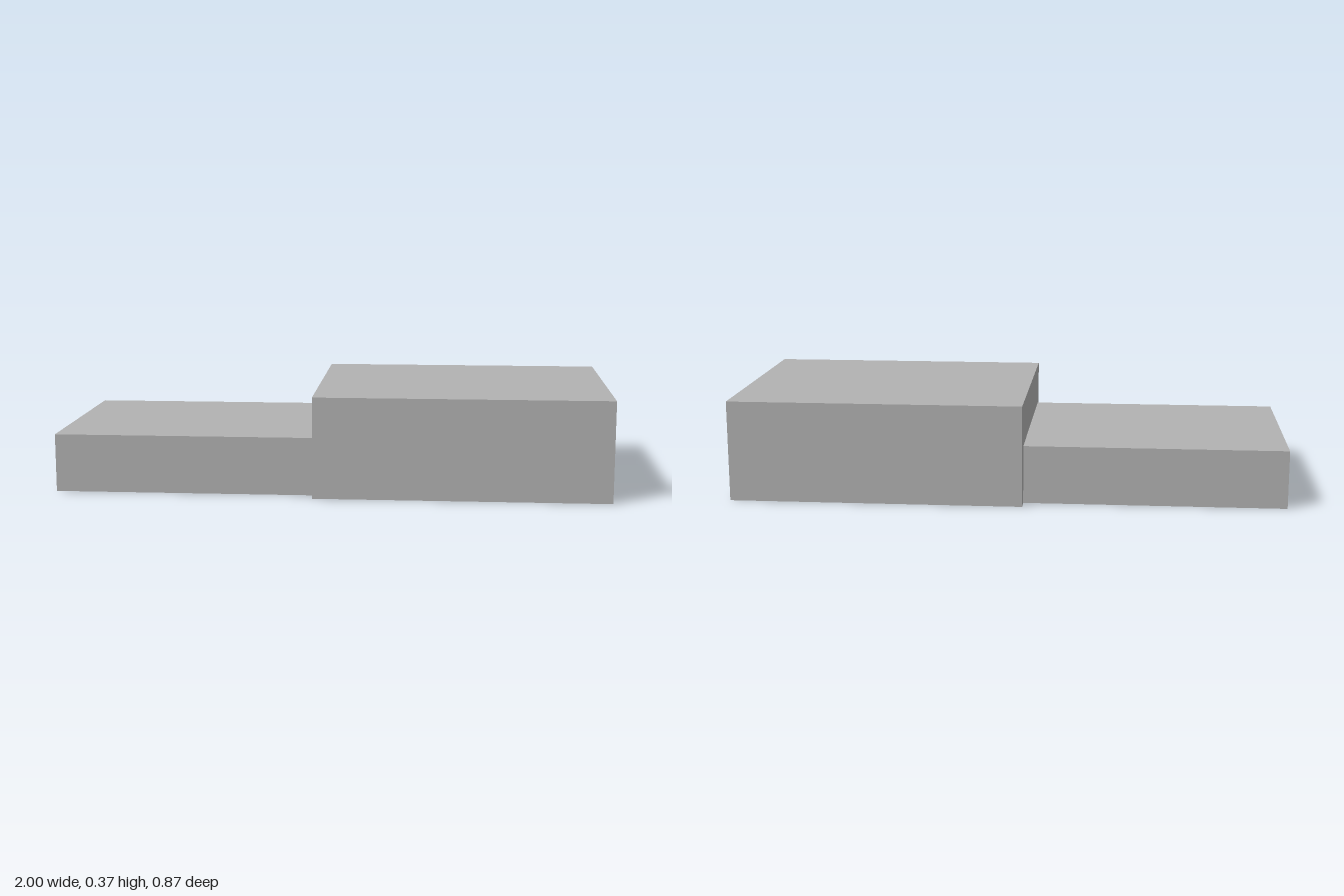
import * as THREE from 'three';
import { toCreasedNormals } from 'three/addons/utils/BufferGeometryUtils.js';

const grey = new THREE.MeshStandardMaterial({ color: 0xb2b2b2 });
grey.name = 'grey plastic';

const BODY_HALF = 0.433, BODY_TOP = 0.365, TONGUE_HALF = 0.38, TONGUE_TOP = 0.21;
const CAVITY_TOP = 0.24, CAVITY_END = 0.67;

function addMesh(group, name, geometry) {
  const mesh = new THREE.Mesh(toCreasedNormals(geometry, 0.5), grey);
  mesh.name = name;
  group.add(mesh);
}

// Extrudes a cross-section (z across, y up) from x0 to x1
function alongX(shape, x0, x1) {
  return new THREE.ExtrudeGeometry(shape, { depth: x1 - x0, bevelEnabled: false, curveSegments: 32 })
    .rotateY(Math.PI / 2).translate(x0, 0, 0);
}

// Upside-down U section: outer half width and height, inner half width and ceiling
function channel(half, top, innerHalf, ceiling) {
  return new THREE.Shape([
    [-half, 0], [-innerHalf, 0], [-innerHalf, ceiling], [innerHalf, ceiling],
    [innerHalf, 0], [half, 0], [half, top], [-half, top],
  ].map(([a, b]) => new THREE.Vector2(a, b)));
}

// Rectangle with a half-round cut in its underside
function archway(half, top, radius) {
  const s = new THREE.Shape();
  s.moveTo(-half, 0);
  s.lineTo(-radius, 0);
  s.absarc(0, 0, radius, Math.PI, 0, true);
  s.lineTo(half, 0);
  s.lineTo(half, top);
  s.lineTo(-half, top);
  s.closePath();
  return s;
}

export function createModel() {
  const model = new THREE.Group();
  model.name = 'connectorHalfShell';

  // Tongue: hollow underneath, wider and slightly stepped towards its tip
  addMesh(model, 'tongueTip', alongX(channel(TONGUE_HALF, TONGUE_TOP, 0.3, 0.116), -1, -0.77));
  addMesh(model, 'tongueStep', alongX(channel(TONGUE_HALF, TONGUE_TOP, 0.3, 0.13), -0.77, -0.65));
  addMesh(model, 'tongueMiddle', alongX(channel(TONGUE_HALF, TONGUE_TOP, 0.26, 0.13), -0.65, -0.06));

  // Body: shoulder with the tongue's slot, then the deep cavity
  addMesh(model, 'bodyShoulder', alongX(channel(BODY_HALF, BODY_TOP, 0.26, 0.13), -0.06, 0.08));
  addMesh(model, 'bodyCavity', alongX(channel(BODY_HALF, BODY_TOP, 0.313, CAVITY_TOP), 0.08, CAVITY_END));

  // Solid cover above the cable end
  const cover = new THREE.BoxGeometry(1 - CAVITY_END, BODY_TOP - CAVITY_TOP, BODY_HALF * 2);
  cover.translate((1 + CAVITY_END) / 2, (BODY_TOP + CAVITY_TOP) / 2, 0);
  addMesh(model, 'endCover', cover);

  // Side pads with blind screw holes opening downwards
  const padInner = 0.13;
  for (const side of [1, -1]) {
    const a = side > 0 ? -BODY_HALF : padInner, b = side > 0 ? -padInner : BODY_HALF;
    const pad = new THREE.Shape([
      new THREE.Vector2(CAVITY_END, a), new THREE.Vector2(1, a),
      new THREE.Vector2(1, b), new THREE.Vector2(CAVITY_END, b),
    ]);
    const hole = new THREE.Path();
    hole.absarc(0.835, -side * 0.275, 0.042, 0, Math.PI * 2, true);
    pad.holes.push(hole);
    const geometry = new THREE.ExtrudeGeometry(pad, { depth: CAVITY_TOP, bevelEnabled: false, curveSegments: 32 });
    addMesh(model, side > 0 ? 'leftScrewPad' : 'rightScrewPad', geometry.rotateX(-Math.PI / 2));
  }

  // Half-round cable channel, alternating grooves and gripping ribs
  const stops = [CAVITY_END, 0.71, 0.75, 0.79, 0.83, 0.87, 0.91, 1];
  for (let i = 0; i < stops.length - 1; i++) {
    const rib = i % 2 === 1;
    addMesh(model, rib ? 'cableRib' : 'cableGroove',
      alongX(archway(padInner, CAVITY_TOP, rib ? 0.094 : 0.117), stops[i], stops[i + 1]));
  }
  return model;
}
